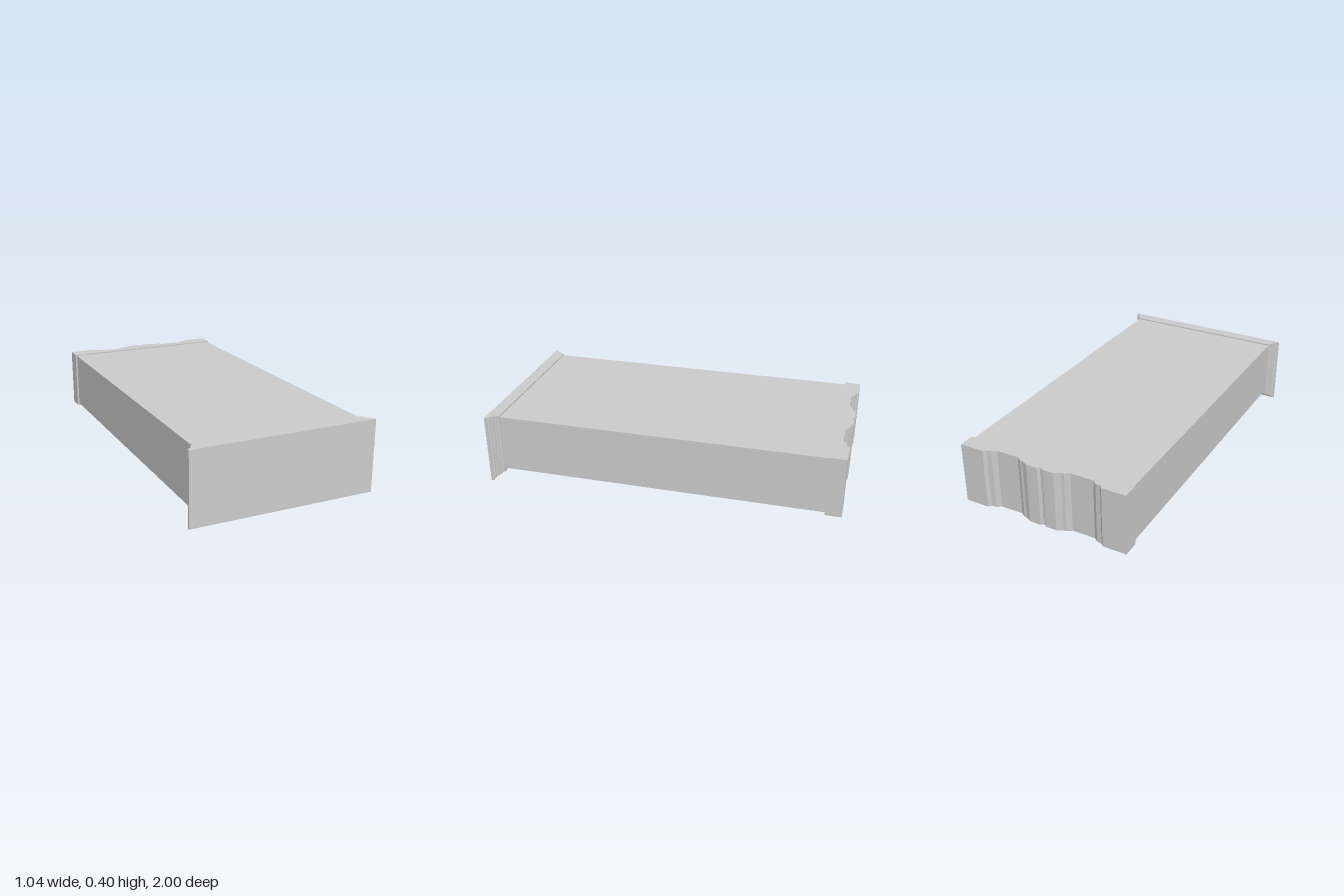
import * as THREE from 'three';

const material = new THREE.MeshStandardMaterial({ color: 0xcccccc, flatShading: true });

// Closed outline from [x, z] points; y of the shape is -z so it can be laid flat
function outline(points, Type = THREE.Shape) {
  return new Type(points.map(([x, z]) => new THREE.Vector2(x, -z)));
}

const rect = (hx, z0, z1) => [[-hx, z0], [hx, z0], [hx, z1], [-hx, z1]];

// Extrudes a plan outline upward from y0 to y1
function slab(shape, y0, y1) {
  const g = new THREE.ExtrudeGeometry(shape, { depth: y1 - y0, bevelEnabled: false });
  return g.rotateX(-Math.PI / 2).translate(0, y0, 0);
}

// Slab with an opening; the hole winds against the outer outline
function ring(outer, inner, y0, y1) {
  const shape = outline(outer);
  shape.holes.push(outline(inner.reverse(), THREE.Path));
  return slab(shape, y0, y1);
}

function block(hx, y0, y1, z0, z1) {
  return new THREE.BoxGeometry(2 * hx, y1 - y0, z1 - z0)
    .translate(0, (y0 + y1) / 2, (z0 + z1) / 2);
}

// Stepped moulding: rectangular sections [z, outset] joined along z, flat on top
function corniceGeometry(profile) {
  const pos = [];
  const quad = (a, b, c, d) => pos.push(...a, ...b, ...c, ...a, ...c, ...d);
  const sections = profile.map(([z, o]) => {
    const x = 0.475 + o, y = 0.047 - o;
    return [[-x, y, z], [x, y, z], [x, 0.402, z], [-x, 0.402, z]];
  });
  for (let i = 0; i < sections.length - 1; i++) {
    const a = sections[i], b = sections[i + 1];
    for (let k = 0; k < 4; k++) {
      const n = (k + 1) % 4;
      quad(a[k], a[n], b[n], b[k]);
    }
  }
  const [s, e] = [sections[0], sections.at(-1)];
  quad(s[3], s[2], s[1], s[0]);
  quad(e[0], e[1], e[2], e[3]);
  const g = new THREE.BufferGeometry();
  g.setAttribute('position', new THREE.Float32BufferAttribute(pos, 3));
  g.computeVertexNormals();
  return g;
}

export function createModel() {
  const group = new THREE.Group();
  const add = (name, geometry) => {
    const mesh = new THREE.Mesh(geometry, material);
    mesh.name = name;
    group.add(mesh);
  };

  // Bookcase lying face down: the open front points to -y, its top to +z
  const outer = rect(0.475, -0.91, 0.93);
  add('carcass', ring(outer, rect(0.445, -0.885, 0.9), 0.087, 0.375));
  add('backPanel', block(0.475, 0.375, 0.394, -0.91, 0.93));
  add('faceFrame', ring(outer, rect(0.41, -0.85, 0.83), 0.067, 0.087));
  add('friezeStrip', block(0.43, 0.057, 0.067, 0.847, 0.908));

  // Five evenly spaced shelves
  for (let i = 0; i < 5; i++) {
    const z = -0.62 + i * 0.305;
    add('shelf' + (i + 1), block(0.445, 0.087, 0.375, z - 0.01, z + 0.01));
  }

  // Cornice flaring out in steps
  add('cornice', corniceGeometry([
    [0.93, 0.004], [0.944, 0.008], [0.946, 0.014], [0.958, 0.016], [0.96, 0.024],
    [0.974, 0.027], [0.976, 0.035], [0.984, 0.04], [0.986, 0.047], [1, 0.047],
  ]));

  // Plinth with a scalloped foot edge, mirrored about the middle
  const half = [
    [0.485, -1], [0.35, -1], [0.335, -0.984], [0.308, -0.981], [0.285, -0.963],
    [0.155, -0.963], [0.13, -0.981], [0.113, -0.983], [0.08, -1], [0.015, -1], [0.005, -0.99],
  ];
  const mirrored = half.map(([x, z]) => [-x, z]).reverse();
  add('scallopedPlinth', slab(
    outline([[0.485, -0.91], ...half, ...mirrored, [-0.485, -0.91]]), 0.056, 0.402));

  return group;
}
